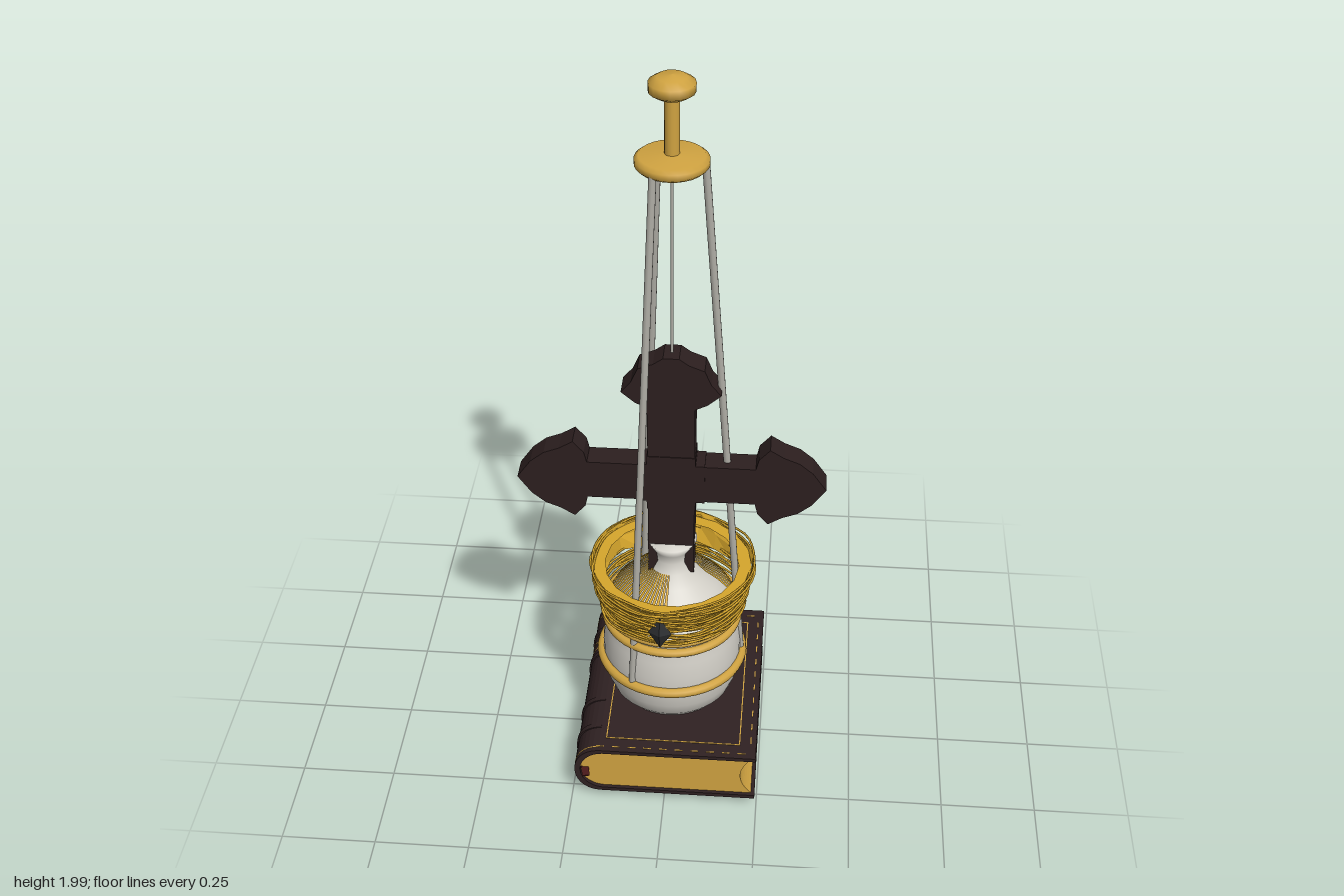
import * as THREE from 'three';

const mat = (name, color, double) => {
  const m = new THREE.MeshStandardMaterial({ color, side: double ? THREE.DoubleSide : THREE.FrontSide });
  m.name = name;
  return m;
};

export function createModel() {
  const root = new THREE.Group();
  root.name = 'censerOnBook';
  const gold = mat('gold', 0xd0a341, true);
  const crownGold = mat('crownGold', 0xd6a62c, true);
  const silver = mat('silver', 0xd2cfc7, true);
  const rodGrey = mat('rodGrey', 0xaeaca4);
  const leather = mat('leather', 0x2f2122, true);
  const wood = mat('darkWood', 0x2c1f1f);
  const gemBlack = mat('gemBlack', 0x2a2c2e);
  const ribbonRed = mat('ribbonRed', 0x4a1a1a, true);

  let seed = 7;
  const rnd = () => (seed = (seed * 16807) % 2147483647) / 2147483647;

  const add = (name, geo, m, x = 0, y = 0, z = 0, parent = root) => {
    const mesh = new THREE.Mesh(geo, m);
    mesh.name = name;
    mesh.position.set(x, y, z);
    parent.add(mesh);
    return mesh;
  };
  const box = (name, w, h, d, m, x, y, z, parent) => add(name, new THREE.BoxGeometry(w, h, d), m, x, y, z, parent);
  const lathe = (name, pts, m, seg = 40) =>
    add(name, new THREE.LatheGeometry(pts.map(p => new THREE.Vector2(...p)), seg), m);
  const extrude = (name, shape, depth, m, z, parent) =>
    add(name, new THREE.ExtrudeGeometry(shape, { depth, bevelEnabled: false, curveSegments: 16 }), m, 0, 0, z, parent);
  const rod = (name, a, b, r, m) => {
    const dir = b.clone().sub(a);
    const mesh = add(name, new THREE.CylinderGeometry(r, r, dir.length(), 10), m);
    mesh.position.copy(a).add(b).multiplyScalar(0.5);
    mesh.quaternion.setFromUnitVectors(new THREE.Vector3(0, 1, 0), dir.normalize());
  };
  const hoop = (name, r, tube, y) =>
    add(name, new THREE.TorusGeometry(r, tube, 10, 48), gold, 0, y, 0).rotation.x = Math.PI / 2;

  // Book: wrapped cover with round spine, and page block with hollow fore-edge
  const book = new THREE.Group();
  book.name = 'book';
  root.add(book);
  const cover = new THREE.Shape();
  cover.moveTo(0.245, 0.038);
  cover.lineTo(0.245, 0.049);
  cover.lineTo(-0.165, 0.049);
  cover.bezierCurveTo(-0.245, 0.055, -0.245, 0.169, -0.165, 0.175);
  cover.lineTo(0.245, 0.175);
  cover.lineTo(0.245, 0.186);
  cover.lineTo(-0.175, 0.186);
  cover.bezierCurveTo(-0.262, 0.18, -0.262, 0.044, -0.175, 0.038);
  extrude('cover', cover, 0.6, leather, -0.305, book);
  const pages = new THREE.Shape();
  pages.moveTo(0.235, 0.049);
  pages.quadraticCurveTo(0.175, 0.112, 0.235, 0.175);
  pages.lineTo(-0.165, 0.175);
  pages.bezierCurveTo(-0.244, 0.169, -0.244, 0.055, -0.165, 0.049);
  extrude('pages', pages, 0.58, gold, -0.295, book);
  // Raised bands and gilt lines on the spine
  const spineArc = grow => {
    const s = new THREE.Shape();
    s.moveTo(-0.175, 0.186 + grow * 0.3);
    s.bezierCurveTo(-0.262 - grow, 0.18 + grow, -0.262 - grow, 0.044 - grow, -0.175, 0.038 - grow * 0.3);
    return s;
  };
  for (const z of [-0.205, -0.1, 0.095, 0.2]) extrude('spineBand', spineArc(0.005), 0.016, leather, z - 0.008, book);
  for (const z of [-0.278, -0.165, -0.135, 0.278]) extrude('spineGilt', spineArc(0.001), 0.003, gold, z, book);
  // Gilt frames on the top cover
  const line = (x0, z0, x1, z1) =>
    box('coverGilt', Math.abs(x1 - x0) + 0.003, 0.002, Math.abs(z1 - z0) + 0.003, gold,
      (x0 + x1) / 2, 0.1865, (z0 + z1) / 2, book);
  for (const z of [-0.248, 0.245]) line(-0.157, z, 0.2, z);
  for (const x of [-0.157, 0.2]) line(x, -0.248, x, 0.245);
  for (let i = 0; i < 10; i++) {
    for (const z of [-0.278, 0.278]) line(-0.18 + i * 0.042, z, -0.162 + i * 0.042, z);
    line(0.23, -0.25 + i * 0.052, 0.23, -0.23 + i * 0.052);
  }
  // Ribbon marker ends
  box('ribbonFront', 0.02, 0.003, 0.035, ribbonRed, -0.21, 0.112, 0.3, book).rotation.y = 0.2;
  box('ribbonBack', 0.02, 0.003, 0.03, ribbonRed, -0.205, 0.112, -0.305, book).rotation.y = 0.5;

  // Foot medallion under the book
  lathe('footRing', [[0.118, 0.038], [0.12, 0.033], [0.163, 0.033], [0.165, 0.038]], gold);
  lathe('footPlate', [[0, 0.031], [0.07, 0.033], [0.078, 0.038]], silver);
  lathe('footKnob', [[0, 0.008], [0.02, 0.01], [0.034, 0.022], [0.036, 0.034]], gold, 16);

  // Bowl, lid and hoops
  lathe('bowl', [[0.145, 0.186], [0.165, 0.21], [0.18, 0.25], [0.187, 0.3], [0.187, 0.35],
    [0.181, 0.4], [0.172, 0.44], [0.17, 0.48]], silver);
  const lidPts = [[0.172, 0.48], [0.155, 0.512], [0.12, 0.548], [0.085, 0.575], [0.058, 0.605],
    [0.048, 0.635], [0.05, 0.66], [0.066, 0.69], [0, 0.69]];
  lathe('lid', lidPts, silver);
  hoop('lowerHoop', 0.19, 0.014, 0.31);
  hoop('upperHoop', 0.177, 0.012, 0.44);
  hoop('rimHoop', 0.178, 0.01, 0.472);
  // Gilt rays on the lid, leaving one quarter plain
  const rays = lidPts.slice(0, 5).map(([r, y]) => new THREE.Vector2(r + 0.002, y + 0.004));
  for (let i = 0; i < 52; i++) {
    const a = Math.PI * (0.5 + 1.5 * i / 52);
    add('lidRay', new THREE.LatheGeometry(rays, 1, a, 0.066), crownGold);
  }

  // Crown: dented flaring band with a tangle of wire around it
  const wall = new THREE.CylinderGeometry(0.214, 0.192, 0.085, 22, 2, true).toNonIndexed();
  const p = wall.attributes.position;
  for (let i = 0; i < p.count; i++) {
    const a = Math.atan2(p.getX(i), p.getZ(i)), y = p.getY(i);
    const k = 1 + 0.03 * Math.sin(a * 7 + y * 40);
    p.setXYZ(i, p.getX(i) * k, y + 0.008 * Math.sin(a * 5), p.getZ(i) * k);
  }
  wall.computeVertexNormals();
  add('crownBand', wall, crownGold, 0, 0.567, 0);
  add('crownLip', new THREE.RingGeometry(0.178, 0.212, 18), crownGold, 0, 0.602, 0).rotation.x = -Math.PI / 2;
  for (let i = 0; i < 24; i++) {
    const h = 0.485 + 0.13 * i / 23, pts = [];
    for (let j = 0; j < 13; j++) {
      const a = (j + rnd() * 0.5) / 13 * Math.PI * 2;
      const r = 0.185 + (h - 0.485) * 0.2 + rnd() * 0.013;
      pts.push(new THREE.Vector3(Math.cos(a) * r, h + (rnd() - 0.5) * 0.018, Math.sin(a) * r));
    }
    const curve = new THREE.CatmullRomCurve3(pts, true);
    add('crownWire', new THREE.TubeGeometry(curve, 52, 0.0032, 5, true), crownGold);
  }
  // Faceted gems on the crown
  for (const [x, z, s] of [[-0.015, 0.212, 1], [-0.015, -0.212, 1], [0.165, -0.14, 0.7]]) {
    const gem = add('gem', new THREE.OctahedronGeometry(1).scale(0.031 * s, 0.05 * s, 0.016), gemBlack, x, 0.54, z);
    gem.rotation.y = Math.atan2(x, z);
  }

  // Cross with pointed, flared ends
  const end = [[0.06, 0.055], [0.215, 0.055], [0.222, 0.085], [0.25, 0.117], [0.285, 0.095],
    [0.325, 0.079], [0.36, 0.05], [0.395, 0]];
  const arm = s => [...end.map(([x, y]) => [s * x, 0.89 + y]), ...end.slice(0, -1).reverse().map(([x, y]) => [s * x, 0.89 - y])];
  const top = [[0.06, 1.12], [0.09, 1.135], [0.125, 1.165], [0.1, 1.195], [0.083, 1.235], [0.045, 1.25], [0.02, 1.268]];
  const outline = [
    [0.06, 0.6], ...arm(1).reverse(), ...top,
    ...top.slice().reverse().map(([x, y]) => [-x, y]), ...arm(-1), [-0.06, 0.6],
  ];
  const cross = new THREE.Group();
  cross.name = 'cross';
  root.add(cross);
  extrude('crossBody', new THREE.Shape(outline.map(q => new THREE.Vector2(...q))), 0.066, wood, -0.033, cross);
  box('crossCentre', 0.172, 0.115, 0.07, wood, 0, 0.89, 0, cross);
  box('crossCentreTall', 0.125, 0.165, 0.07, wood, 0, 0.89, 0, cross);

  // Three hanging rods with a thin centre chain
  for (let i = 0; i < 3; i++) {
    const a = i * Math.PI * 2 / 3, c = Math.cos(a), s = Math.sin(a);
    rod('hangingRod', new THREE.Vector3(c * 0.188, 0.31, s * 0.188), new THREE.Vector3(c * 0.078, 1.785, s * 0.078), 0.0095, rodGrey);
  }
  rod('centreChain', new THREE.Vector3(0, 1.26, 0), new THREE.Vector3(0, 1.785, 0), 0.004, rodGrey);

  // Top cap, stem and finial
  lathe('cap', [[0, 1.772], [0.08, 1.772], [0.088, 1.78], [0.088, 1.794], [0.078, 1.802], [0, 1.808]], gold, 28);
  add('stem', new THREE.CylinderGeometry(0.018, 0.018, 0.15, 16), gold, 0, 1.875, 0);
  lathe('finial', [[0, 1.945], [0.035, 1.947], [0.055, 1.96], [0.055, 1.982], [0.035, 1.995], [0, 2]], gold, 16);
  return root;
}
